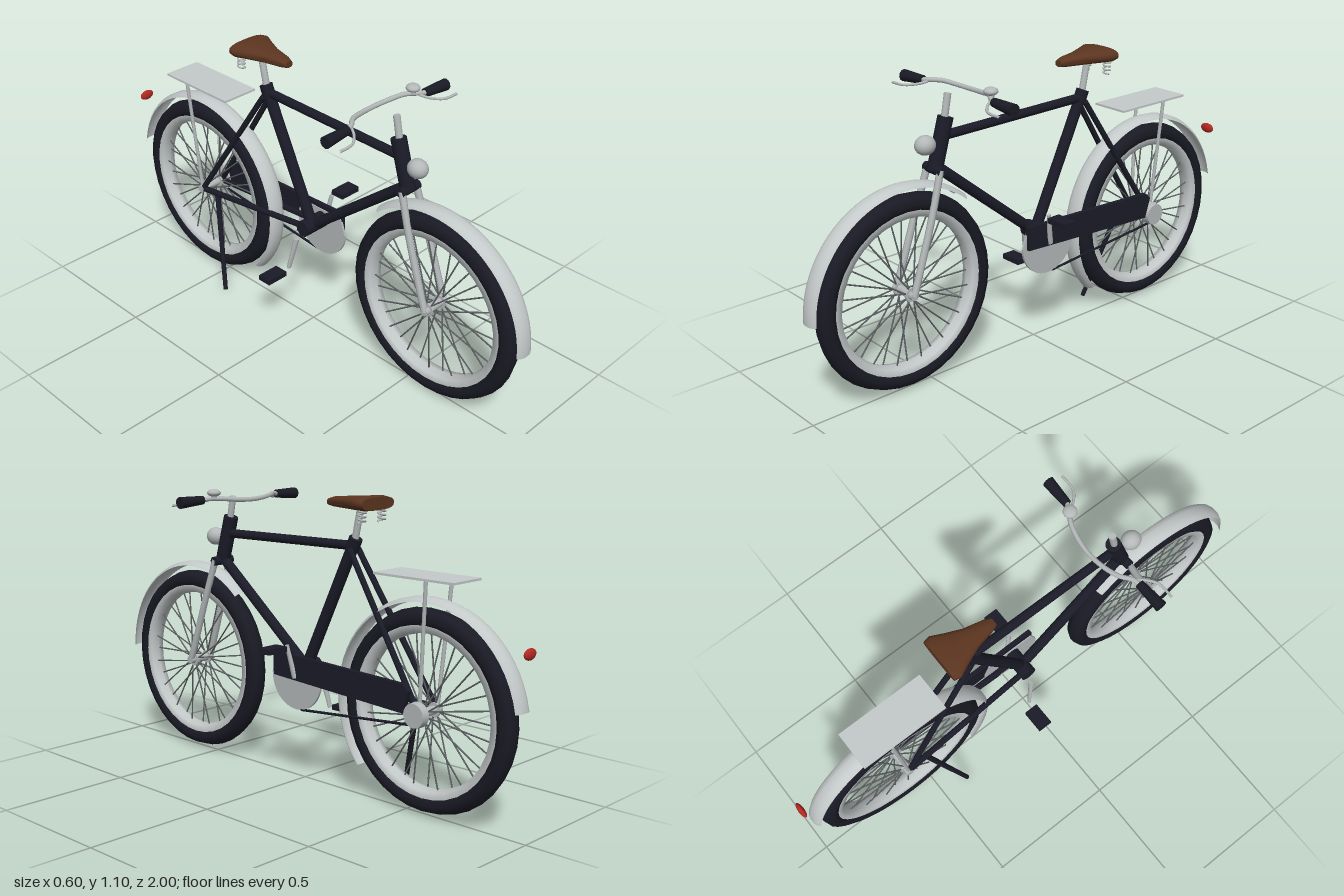
import * as THREE from 'three';
import { toCreasedNormals } from 'three/addons/utils/BufferGeometryUtils.js';

const mat = (name, color, side = THREE.FrontSide) => {
  const m = new THREE.MeshStandardMaterial({ color, side });
  m.name = name;
  return m;
};
const V = (x, y, z) => new THREE.Vector3(x, y, z);

export function createModel() {
  const M = {
    paint: mat('dark paint', 0x1b1b28),
    rubber: mat('tyre rubber', 0x1a1a25),
    guard: mat('pale mudguard', 0xc4c9c9, THREE.DoubleSide),
    metal: mat('bright metal', 0xb4b8b8),
    wire: mat('spoke wire', 0x606466),
    leather: mat('brown leather', 0x5c3520),
    red: mat('red lens', 0xb52a22),
  };
  const bike = new THREE.Group();
  bike.name = 'bicycle';

  const add = (name, geo, m, parent = bike) => {
    const mesh = new THREE.Mesh(geo, m);
    mesh.name = name;
    parent.add(mesh);
    return mesh;
  };
  // Straight tube between two points
  const rod = (name, a, b, r0, m, r1 = r0, parent = bike, sides = 12) => {
    const d = b.clone().sub(a);
    const mesh = add(name, new THREE.CylinderGeometry(r1, r0, d.length(), sides), m, parent);
    mesh.position.copy(a).addScaledVector(d, 0.5);
    mesh.quaternion.setFromUnitVectors(V(0, 1, 0), d.normalize());
    return mesh;
  };
  const bentTube = (name, pts, r, m, segs = 24) =>
    add(name, new THREE.TubeGeometry(new THREE.CatmullRomCurve3(pts), segs, r, 8), m);
  // Plate outlined in (z, y), running from x0 to x0 + depth
  const sidePlate = (name, pts, x0, depth, m) => {
    const s = new THREE.Shape(pts.map(([z, y]) => new THREE.Vector2(-z, y)));
    const g = new THREE.ExtrudeGeometry(s, { depth, bevelEnabled: false }).rotateY(Math.PI / 2);
    return add(name, g.translate(x0, 0, 0), m);
  };

  const AXLE_Y = 0.377, FRONT_Z = 0.598, REAR_Z = -0.588;

  // Wheels: tyre, rim, hub and crossed spokes
  const wheel = (name, z, hubHalf) => {
    const g = new THREE.Group();
    g.name = name;
    g.position.set(0, AXLE_Y, z);
    bike.add(g);
    const tyre = new THREE.TorusGeometry(0.327, 0.036, 8, 36).rotateY(Math.PI / 2).scale(1.1, 1, 1);
    add('tyre', tyre, M.rubber, g);
    const profile = [[0.305, -0.031], [0.28, -0.029], [0.272, 0], [0.28, 0.029], [0.305, 0.031]]
      .map(([r, x]) => new THREE.Vector2(r, x));
    add('rim', new THREE.LatheGeometry(profile, 36).rotateZ(-Math.PI / 2), M.guard, g);
    rod('hub', V(-hubHalf, 0, 0), V(hubHalf, 0, 0), 0.016, M.metal, 0.016, g);
    for (const s of [-1, 1]) rod('hubFlange', V(s * 0.03, 0, 0), V(s * 0.038, 0, 0), 0.026, M.metal, 0.026, g, 16);
    const n = 32;
    for (let i = 0; i < n; i++) {
      const a = (i / n) * Math.PI * 2, s = i % 2 ? 1 : -1;
      const b = a + (i % 4 < 2 ? 0.25 : -0.25);
      rod('spoke', V(s * 0.034, Math.sin(b) * 0.022, Math.cos(b) * 0.022),
        V(s * 0.006, Math.sin(a) * 0.278, Math.cos(a) * 0.278), 0.003, M.wire, 0.003, g, 5);
    }
  };
  wheel('frontWheel', FRONT_Z, 0.058);
  wheel('rearWheel', REAR_Z, 0.062);
  rod('rearHubCover', V(0.055, AXLE_Y, REAR_Z), V(0.084, AXLE_Y, REAR_Z), 0.046, M.metal, 0.043, bike, 20);

  // Mudguards: arched section swept from angle a0 to a1 (0 = forward, 90 = up)
  const mudguard = (name, z, a0, a1) => {
    const pts = [[0.384, -0.037], [0.394, -0.028], [0.4, -0.012], [0.4, 0.012], [0.394, 0.028], [0.384, 0.037]]
      .map(([r, x]) => new THREE.Vector2(r, x));
    const rad = Math.PI / 180;
    const g = new THREE.LatheGeometry(pts, 32, -a1 * rad, (a1 - a0) * rad).rotateZ(-Math.PI / 2);
    add(name, g, M.guard).position.set(0, AXLE_Y, z);
  };
  mudguard('frontMudguard', FRONT_Z, 0, 131);
  mudguard('rearMudguard', REAR_Z, -40, 170);

  // Main frame
  const bracket = V(0, 0.445, -0.01), seatTop = V(0, 0.925, -0.24);
  rod('headTube', V(0, 0.79, 0.455), V(0, 0.972, 0.402), 0.028, M.paint, 0.028, bike, 16);
  rod('topTube', V(0, 0.906, 0.42), V(0, 0.917, -0.236), 0.017, M.paint);
  rod('downTube', V(0, 0.805, 0.45), V(0, 0.46, 0.02), 0.02, M.paint);
  rod('seatTube', bracket, seatTop, 0.022, M.paint);
  rod('seatCollar', V(0, 0.905, -0.231), V(0, 0.945, -0.249), 0.025, M.paint);
  rod('bottomBracket', V(-0.05, 0.44, -0.01), V(0.06, 0.44, -0.01), 0.032, M.paint);
  for (const s of [-1, 1]) {
    rod('seatStay', V(s * 0.022, 0.905, -0.24), V(s * 0.05, AXLE_Y + 0.01, REAR_Z + 0.01), 0.011, M.paint);
    rod('chainStay', V(s * 0.03, 0.44, -0.02), V(s * 0.05, AXLE_Y, REAR_Z), 0.012, M.paint);
    // Fork blade with forward-curving tip
    bentTube('forkBlade', [V(s * 0.036, 0.8, 0.458), V(s * 0.046, 0.65, 0.505),
      V(s * 0.05, 0.47, 0.565), V(s * 0.052, AXLE_Y, FRONT_Z)], 0.013, M.metal, 16);
    // Rack leg
    rod('rackLeg', V(s * 0.072, 0.843, -0.622), V(s * 0.05, AXLE_Y, REAR_Z), 0.007, M.metal);
  }
  rod('forkCrown', V(-0.046, 0.795, 0.457), V(0.046, 0.795, 0.457), 0.018, M.paint);
  rod('kickstand', V(-0.043, 0.385, -0.505), V(-0.123, 0.008, -0.387), 0.011, M.paint, 0.009);

  // Luggage rack
  add('rackPlate', new THREE.BoxGeometry(0.152, 0.008, 0.344), M.guard).position.set(0, 0.845, -0.567);

  // Chain guard, half-round cover and lower chain run
  sidePlate('chainGuard', [[0.09, 0.5], [-0.535, 0.478], [-0.56, 0.455], [-0.535, 0.375], [0.09, 0.408]],
    0.06, 0.018, M.paint);
  const half = [];
  for (let i = 0; i <= 20; i++) {
    const a = Math.PI * (1 + i / 20);
    half.push([-0.016 + 0.125 * Math.cos(a), 0.413 + 0.125 * Math.sin(a)]);
  }
  half.push([0.085, 0.48], [-0.117, 0.48]);
  sidePlate('chainwheelCover', half, 0.056, 0.009, M.metal);
  rod('chain', V(0.062, 0.29, -0.04), V(0.062, 0.337, -0.57), 0.005, M.paint, 0.005, bike, 6);

  // Cranks and pedals
  const crank = (a, b, pedal) => {
    const c = rod('crank', a, b, 0.012, M.metal, 0.009);
    c.scale.x = 0.7;
    add('pedal', new THREE.BoxGeometry(0.09, 0.02, 0.056), M.paint).position.copy(pedal);
  };
  crank(V(0.075, 0.41, -0.018), V(0.092, 0.535, 0.006), V(0.163, 0.527, 0.008));
  crank(V(-0.073, 0.403, -0.018), V(-0.092, 0.27, -0.042), V(-0.165, 0.262, -0.055));

  // Saddle: tapered sections [z, half width, bottom, top]
  const sections = [[-0.123, 0.016, 1.054, 1.078], [-0.15, 0.026, 1.05, 1.086], [-0.22, 0.042, 1.047, 1.092],
    [-0.28, 0.068, 1.046, 1.096], [-0.325, 0.09, 1.046, 1.1], [-0.35, 0.085, 1.05, 1.096]];
  const saddle = new THREE.CylinderGeometry(1, 1, 1, 20, sections.length - 1);
  const p = saddle.attributes.position;
  for (let i = 0; i < p.count; i++) {
    const k = Math.round((0.5 - p.getY(i)) * (sections.length - 1));
    const [z, w, lo, hi] = sections[k];
    const soft = (v) => Math.sign(v) * Math.pow(Math.abs(v), 0.75);
    p.setXYZ(i, soft(p.getX(i)) * w, (lo + hi) / 2 - soft(p.getZ(i)) * (hi - lo) / 2, z);
  }
  add('saddle', toCreasedNormals(saddle, 0.9), M.leather);
  rod('seatPost', V(0, 0.93, -0.243), V(0, 1.055, -0.27), 0.013, M.metal);
  for (const s of [-1, 1]) {
    const coil = [];
    for (let i = 0; i <= 32; i++) {
      const a = (i / 32) * Math.PI * 7;
      coil.push(V(s * 0.052 + 0.013 * Math.cos(a), 1.005 + 0.05 * i / 32, -0.322 + 0.013 * Math.sin(a)));
    }
    bentTube('saddleSpring', coil, 0.0035, M.metal, 80);
  }

  // Stem and swept handlebar
  rod('stem', V(0, 0.96, 0.408), V(0, 1.052, 0.39), 0.013, M.metal);
  const half1 = [[0.2, 1.051, 0.35], [0.165, 1.056, 0.338], [0.13, 1.056, 0.312], [0.07, 1.05, 0.294]];
  bentTube('handlebar', [...half1.map(([x, y, z]) => V(-x, y, z)), V(0, 1.047, 0.287),
    ...half1.reverse().map(([x, y, z]) => V(x, y, z))], 0.009, M.metal, 40);
  for (const s of [-1, 1]) {
    rod('grip', V(s * 0.192, 1.052, 0.348), V(s * 0.3, 1.048, 0.352), 0.016, M.rubber, 0.022);
    bentTube('brakeLever', [V(s * 0.17, 1.05, 0.345), V(s * 0.19, 1.042, 0.375),
      V(s * 0.23, 1.036, 0.405), V(s * 0.293, 1.034, 0.408)], 0.005, M.metal, 14);
  }

  // Bell, headlamp and tail lamp
  rod('bellBase', V(0.153, 1.058, 0.328), V(0.153, 1.074, 0.328), 0.012, M.metal);
  const bell = add('bell', new THREE.SphereGeometry(0.026, 16, 10), M.metal);
  bell.position.set(0.153, 1.078, 0.328);
  bell.scale.y = 0.55;
  const lamp = add('headlamp', new THREE.SphereGeometry(0.035, 18, 12).rotateX(Math.PI / 2), M.metal);
  lamp.position.set(0, 0.888, 0.492);
  lamp.scale.z = 1.1;
  const tail = add('tailLamp', new THREE.SphereGeometry(1, 16, 10), M.red);
  tail.position.set(0, 0.641, -0.988);
  tail.scale.set(0.032, 0.02, 0.011);

  return bike;
}
